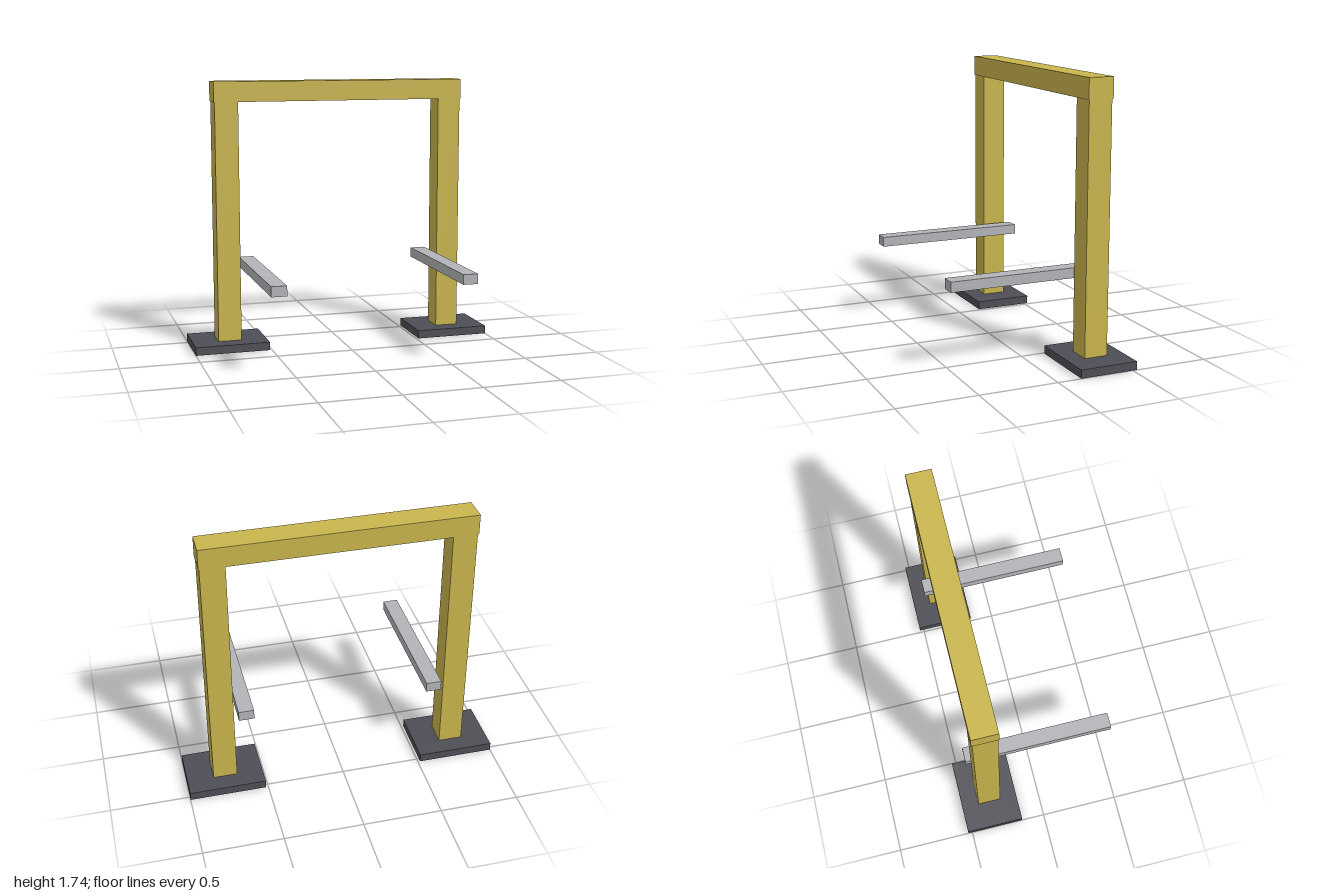
import * as THREE from 'three';

const yellow = new THREE.MeshStandardMaterial({ color: 0xc9b54d });
yellow.name = 'yellow paint';
const darkGrey = new THREE.MeshStandardMaterial({ color: 0x4e4e56 });
darkGrey.name = 'dark grey base';
const lightGrey = new THREE.MeshStandardMaterial({ color: 0xb3b4b8 });
lightGrey.name = 'light grey metal';

// Box given by its [min, max] extent on each axis
function box(name, material, [x0, x1], [y0, y1], [z0, z1]) {
  const mesh = new THREE.Mesh(new THREE.BoxGeometry(x1 - x0, y1 - y0, z1 - z0), material);
  mesh.position.set((x0 + x1) / 2, (y0 + y1) / 2, (z0 + z1) / 2);
  mesh.name = name;
  return mesh;
}

export function createModel() {
  const model = new THREE.Group();
  model.name = 'gantryFrame';

  // Crossbeam over both posts
  model.add(box('crossbeam', yellow, [-0.837, 0.837], [1.612, 1.742], [-0.421, -0.259]));

  for (const side of [-1, 1]) {
    const name = side > 0 ? 'left' : 'right';
    const span = (a, b) => (side > 0 ? [a, b] : [-b, -a]);

    // Floor plate, with the post running through to its underside
    model.add(box(name + 'Foot', darkGrey, span(0.515, 1), [0.001, 0.054], [-0.527, -0.152]));
    model.add(box(name + 'Post', yellow, span(0.68, 0.832), [0, 1.612], [-0.415, -0.264]));

    // Horizontal bar reaching forward beside the post
    model.add(box(name + 'Arm', lightGrey, span(0.558, 0.655), [0.51, 0.574], [-0.447, 0.527]));
  }
  return model;
}
